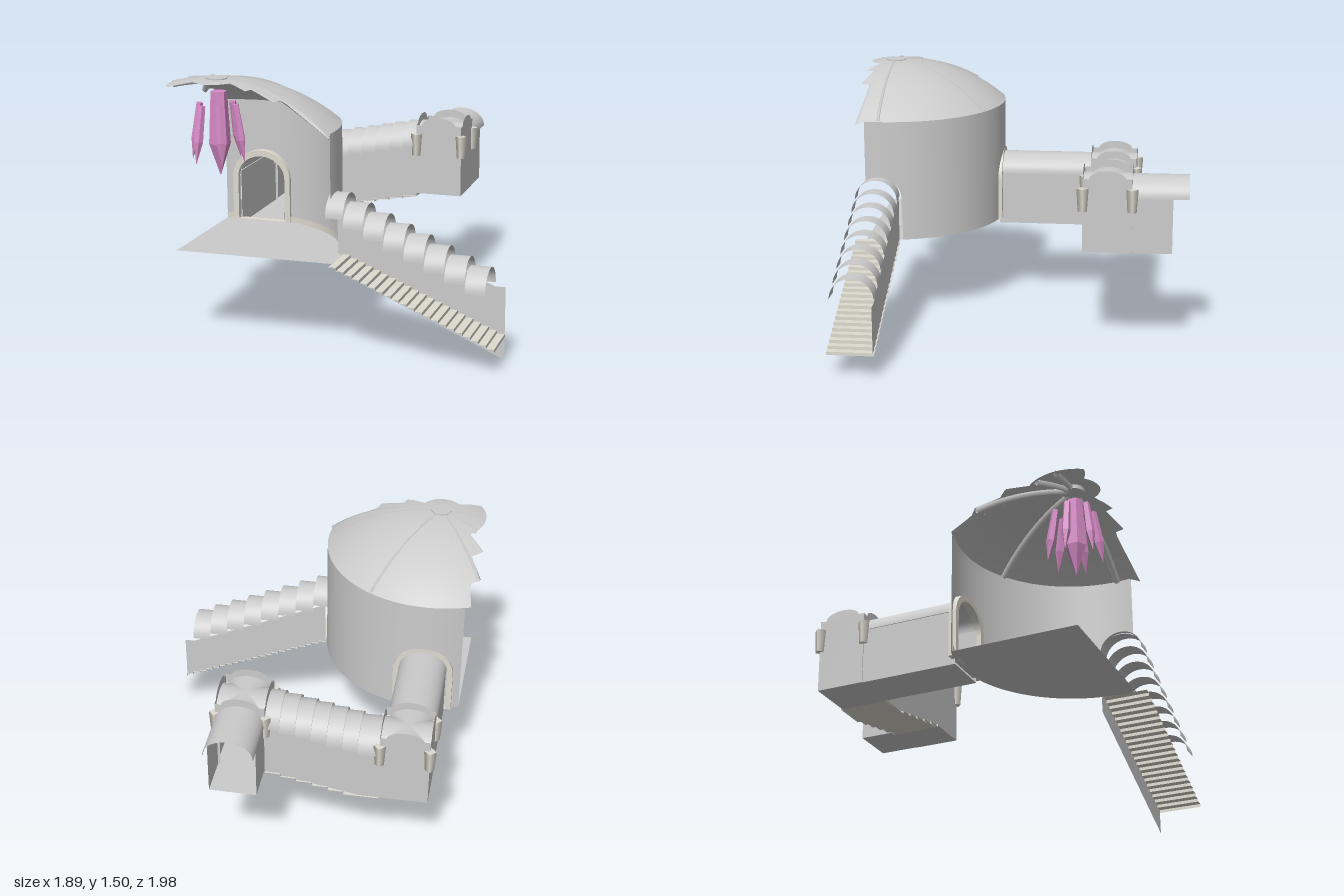
import * as THREE from 'three';
import { ParametricGeometry } from 'three/addons/geometries/ParametricGeometry.js';

const D = THREE.DoubleSide, RAD = Math.PI / 180;
const grey = new THREE.MeshStandardMaterial({ color: 0xcccccc, side: D });
const greyFront = new THREE.MeshStandardMaterial({ color: 0xcccccc });
const cream = new THREE.MeshStandardMaterial({ color: 0xdddacf, side: D });
const pink = new THREE.MeshStandardMaterial({ color: 0xd98cc8, flatShading: true });
const CX = -0.65, CZ = 0.83, R = 0.68, FLOOR = 0.52, EAVE = 1.24, RISE = 0.25;

export function createModel() {
  const model = new THREE.Group();
  const add = (name, geo, mat = grey, parent = model) => {
    const m = new THREE.Mesh(geo, mat);
    m.name = name;
    parent.add(m);
    return m;
  };
  const surface = (fn, nu, nv) => {
    const g = new ParametricGeometry((u, v, t) => t.set(...fn(u, v)), nu, nv);
    g.computeVertexNormals();
    return g;
  };
  const polygon = pts => new THREE.ShapeGeometry(new THREE.Shape(pts.map(p => new THREE.Vector2(...p))));
  // half-elliptic barrel along z, centred
  const vault = (len, hw, rise) => surface((u, v) =>
    [hw * Math.cos(Math.PI * u), rise * Math.sin(Math.PI * u), len * (v - 0.5)], 24, 1);
  // folded sheet: profile in x-y, swept from z0 to z1
  const sheet = (pts, z0, z1) => {
    const pos = [], idx = [];
    pts.forEach(([x, y], i) => {
      pos.push(x, y, z0, x, y, z1);
      if (i) { const a = 2 * i - 2; idx.push(a, a + 1, a + 2, a + 1, a + 3, a + 2); }
    });
    const g = new THREE.BufferGeometry();
    g.setAttribute('position', new THREE.Float32BufferAttribute(pos, 3));
    g.setIndex(idx);
    const flat = g.toNonIndexed();
    flat.computeVertexNormals();
    return flat;
  };
  const stepProfile = (x0, y0, x1, y1, n) => {
    const pts = [[x0, y0]];
    for (let i = 1; i <= n; i++) {
      const x = x0 + (x1 - x0) * i / n;
      pts.push([x, y0 + (y1 - y0) * (i - 1) / n], [x, y0 + (y1 - y0) * i / n]);
    }
    return pts;
  };
  const onCircle = (deg, r) => [CX + r * Math.sin(deg * RAD), CZ - r * Math.cos(deg * RAD)];

  // ---- round room: wall with two arched doorways ----
  const A0 = -19, A1 = 97;
  const doorTop = deg => {
    const d = R * Math.sin(deg * RAD) / 0.14, e = (R * Math.cos(deg * RAD) + 0.0) / 0.13;
    if (Math.abs(deg) < 30 && Math.abs(d) < 1) return 0.79 + 0.12 * Math.sqrt(1 - d * d);
    if (deg > 60 && Math.abs(e) < 1) return 0.78 + 0.12 * Math.sqrt(1 - e * e);
    return FLOOR;
  };
  add('roomWall', surface((u, v) => {
    const a = A0 + (A1 - A0) * u, [x, z] = onCircle(a, R), b = doorTop(a);
    return [x, b + (EAVE - b) * v, z];
  }, 232, 1));
  const ring = (a0, a1, r, y0, y1) => surface((u, v) => {
    const [x, z] = onCircle(a0 + (a1 - a0) * u, r);
    return [x, y0 + (y1 - y0) * v, z];
  }, 32, 1);
  for (const [a, b] of [[A0, -13], [13, 78]]) add('baseTrim', ring(a, b, R - 0.012, FLOOR, 0.555), cream);
  add('eaveTrim', ring(A0, A1, R - 0.01, 1.205, EAVE));

  // floor: arc under the wall closed by a square front corner
  const floorPts = [];
  for (let i = 0; i <= 40; i++) {
    const [x, z] = onCircle(A0 + (A1 - A0) * i / 40, R);
    floorPts.push([x, -z]);
  }
  floorPts.push([-0.88, -0.92]);
  add('roomFloor', polygon(floorPts).rotateX(-Math.PI / 2)).position.y = FLOOR;

  // ---- broken dome: shallow cap cut by a jagged rim ----
  const jag = [[0.04, 0.97], [-0.1, 0.945], [-0.25, 0.92], [-0.27, 0.99], [-0.41, 0.93], [-0.43, 0.98],
    [-0.54, 0.91], [-0.6, 0.97], [-0.65, 0.98], [-0.75, 0.93], [-0.88, 0.98], [-0.92, 0.83], [-0.84, 0.64],
    [-0.94, 0.55], [-0.87, 0.48], [-0.95, 0.37], [-0.88, 0.31], [-0.91, 0.2]];
  const rim = [[A0, R], [A1, R], ...jag.map(([x, z]) => {
    const a = Math.atan2(x - CX, CZ - z) / RAD;
    return [a < A0 ? a + 360 : a, Math.hypot(x - CX, z - CZ)];
  }), [360 + A0, R]];
  const rimRadius = deg => {
    const a = deg < A0 ? deg + 360 : deg;
    const i = Math.max(1, rim.findIndex(p => p[0] >= a));
    const [p, q] = [rim[i - 1], rim[i]];
    return p[1] + (q[1] - p[1]) * (a - p[0]) / (q[0] - p[0]);
  };
  const SR = (R * R + RISE * RISE) / (2 * RISE);
  const capY = r => EAVE + RISE - SR + Math.sqrt(SR * SR - r * r);
  add('domeRoof', surface((u, v) => {
    const a = A0 + 359.99 * u, r = Math.max(0.001, rimRadius(a) * v), [x, z] = onCircle(a, r);
    return [x, capY(r), z];
  }, 240, 14));
  for (const a of [-90, -60, -30, 30, 90]) {
    const pts = [], end = rimRadius(a) - 0.01;
    for (let i = 0; i <= 8; i++) {
      const r = 0.04 + (end - 0.04) * i / 8, [x, z] = onCircle(a, r);
      pts.push(new THREE.Vector3(x, capY(r) - 0.013, z));
    }
    add('roofRib', new THREE.TubeGeometry(new THREE.CatmullRomCurve3(pts), 20, 0.019, 4));
  }
  add('roofHub', new THREE.CylinderGeometry(0.06, 0.06, 0.03, 16)).position.set(CX, 1.48, CZ);

  // ---- hanging crystals: one large, six splayed around it ----
  const crystal = (w, len, sides) => new THREE.LatheGeometry(
    [[0.001, -len], [w, -len * 0.62], [w * 0.75, 0], [0.001, 0]].map(p => new THREE.Vector2(...p)), sides);
  const crystals = new THREE.Group();
  crystals.name = 'crystals';
  crystals.position.set(CX, 1.42, CZ);
  model.add(crystals);
  add('largeCrystal', crystal(0.06, 0.47, 6), pink, crystals).position.x = 0.01;
  for (let i = 0; i < 6; i++) {
    const arm = new THREE.Group();
    arm.rotation.y = i * Math.PI / 3;
    crystals.add(arm);
    const c = add('smallCrystal', crystal(0.026, 0.32, 5), pink, arm);
    c.position.set(0.105, -0.07, 0);
    c.rotation.z = 0.15;
  }

  // ---- arched frame round the rear doorway ----
  const archPath = (P, hw, y0, spring, rise) => {
    const p = new P();
    p.moveTo(-hw, y0);
    p.lineTo(hw, y0);
    p.lineTo(hw, spring);
    p.absellipse(0, spring, hw, rise, 0, Math.PI, false, 0);
    p.lineTo(-hw, y0);
    return p;
  };
  const frame = archPath(THREE.Shape, 0.178, FLOOR, 0.78, 0.165);
  frame.holes.push(archPath(THREE.Path, 0.145, FLOOR + 0.002, 0.78, 0.13));
  add('doorFrame', new THREE.ExtrudeGeometry(frame, { depth: 0.045, bevelEnabled: false, curveSegments: 20 }), cream)
    .position.set(CX, 0, 0.15);

  // ---- straight corridors: floor, two walls, barrel vault ----
  const corridor = (x, z0, z1, vaultEnd, base, spring) => {
    const g = new THREE.Group(), len = z0 - z1;
    g.name = 'corridor';
    g.position.set(x, 0, (z0 + z1) / 2);
    model.add(g);
    add('corridorFloor', new THREE.PlaneGeometry(0.27, len).rotateX(-Math.PI / 2), grey, g).position.y = base;
    for (const s of [-1, 1])
      add('corridorWall', new THREE.PlaneGeometry(len, spring - base).rotateY(s * Math.PI / 2), grey, g)
        .position.set(s * 0.135, (spring + base) / 2, 0);
    add('corridorVault', vault(z0 - vaultEnd, 0.14, 0.108), grey, g)
      .position.set(0, spring, (vaultEnd - z1) / 2);
  };
  corridor(CX, 0.17, -0.4, -0.4, 0.488, 0.81);
  corridor(0.275, -0.68, -0.91, -1, 0.6, 0.92);

  // ---- corner towers: arch-topped faces, groin vault, corner brackets ----
  const face = (base, sh, open) => {
    const s = new THREE.Shape();
    s.moveTo(-0.14, base);
    if (open) {
      s.lineTo(-0.12, base);
      s.lineTo(-0.12, sh - 0.11);
      s.absellipse(0, sh - 0.11, 0.12, 0.095, Math.PI, 0, true, 0);
      s.lineTo(0.12, base);
    }
    s.lineTo(0.14, base);
    s.lineTo(0.14, sh);
    s.lineTo(0.105, sh);
    s.absellipse(0, sh - 0.005, 0.105, 0.05, 0, Math.PI, false, 0);
    s.lineTo(-0.14, sh);
    return new THREE.ShapeGeometry(s, 20);
  };
  const tower = (x, base, sh, openSides) => {
    const g = new THREE.Group();
    g.name = 'cornerTower';
    g.position.set(x, 0, -0.54);
    model.add(g);
    add('towerFloor', new THREE.PlaneGeometry(0.28, 0.28).rotateX(-Math.PI / 2), grey, g).position.y = base;
    add('towerVault', surface((u, v) => {
      const a = 2 * u - 1, b = 1 - 2 * v, m = Math.min(Math.abs(a), Math.abs(b));
      return [0.14 * a, sh - 0.11 + 0.11 * Math.sqrt(1 - m * m), 0.14 * b];
    }, 28, 28), grey, g);
    for (let i = 0; i < 4; i++) { // front, left (+x), back, right (-x)
      const side = new THREE.Group();
      side.rotation.y = i * Math.PI / 2;
      g.add(side);
      add('towerFace', face(base, sh, openSides.includes(i)), grey, side).position.z = 0.14;
      const b = add('cornerBracket', new THREE.CylinderGeometry(0.035, 0.026, 0.135, 4), cream, side);
      b.position.set(0.14, sh - 0.125, 0.14);
    }
  };
  tower(CX, 0.488, 0.92, [0, 1]);
  tower(0.275, 0.6, 1.03, [2, 3]);

  // ---- stepped corridor between the towers ----
  const rampFloor = [[-0.51, 0.488], ...stepProfile(-0.4, 0.488, 0.14, 0.6, 6)];
  add('rampSteps', sheet(rampFloor, -0.39, -0.69), cream);
  for (const z of [-0.4, -0.68])
    add('rampWall', polygon([[-0.51, 0.485], [-0.42, 0.485], [0.14, 0.58], [0.14, 0.92], [-0.38, 0.82], [-0.51, 0.81]]))
      .position.z = z;
  for (let i = 0; i < 7; i++) {
    const x0 = i ? -0.39 + (i - 1) * 0.0883 : -0.52, x1 = -0.39 + i * 0.0883;
    add('rampVault', vault(x1 - x0, 0.15, 0.13).rotateY(Math.PI / 2))
      .position.set((x0 + x1) / 2, 0.79 + i * 0.0175, -0.54);
  }

  // ---- outer staircase: steps, one side wall, stepped vaults ----
  const flight = stepProfile(0.03, FLOOR, 0.95, 0.13, 21);
  add('stairSteps', sheet(flight, 0.705, 0.975), cream);
  add('stairWallInner', polygon([[0, 0.42], [0.95, 0], [0.95, 0.415], [0.89, 0.415], [0, 0.81]]), greyFront)
    .position.z = 0.718;
  const outer = polygon([...flight, [0.95, 0.415], [0.89, 0.415], [0.03, 0.8]]);
  outer.scale(-1, 1, 1).rotateY(Math.PI); // turned to face the back
  const idx = outer.index.array;
  for (let i = 0; i < idx.length; i += 3) [idx[i], idx[i + 1]] = [idx[i + 1], idx[i]];
  outer.computeVertexNormals();
  add('stairWallOuter', outer, greyFront).position.z = 0.714;
  for (let i = 0; i < 8; i++) {
    const x0 = i ? 0.11 + (i - 1) * 0.112 : 0.01, x1 = 0.11 + i * 0.112;
    add('stairVault', vault(x1 - x0, 0.125, 0.118).rotateY(Math.PI / 2))
      .position.set((x0 + x1) / 2, 0.787 - i * 0.05, 0.837);
  }
  return model;
}
